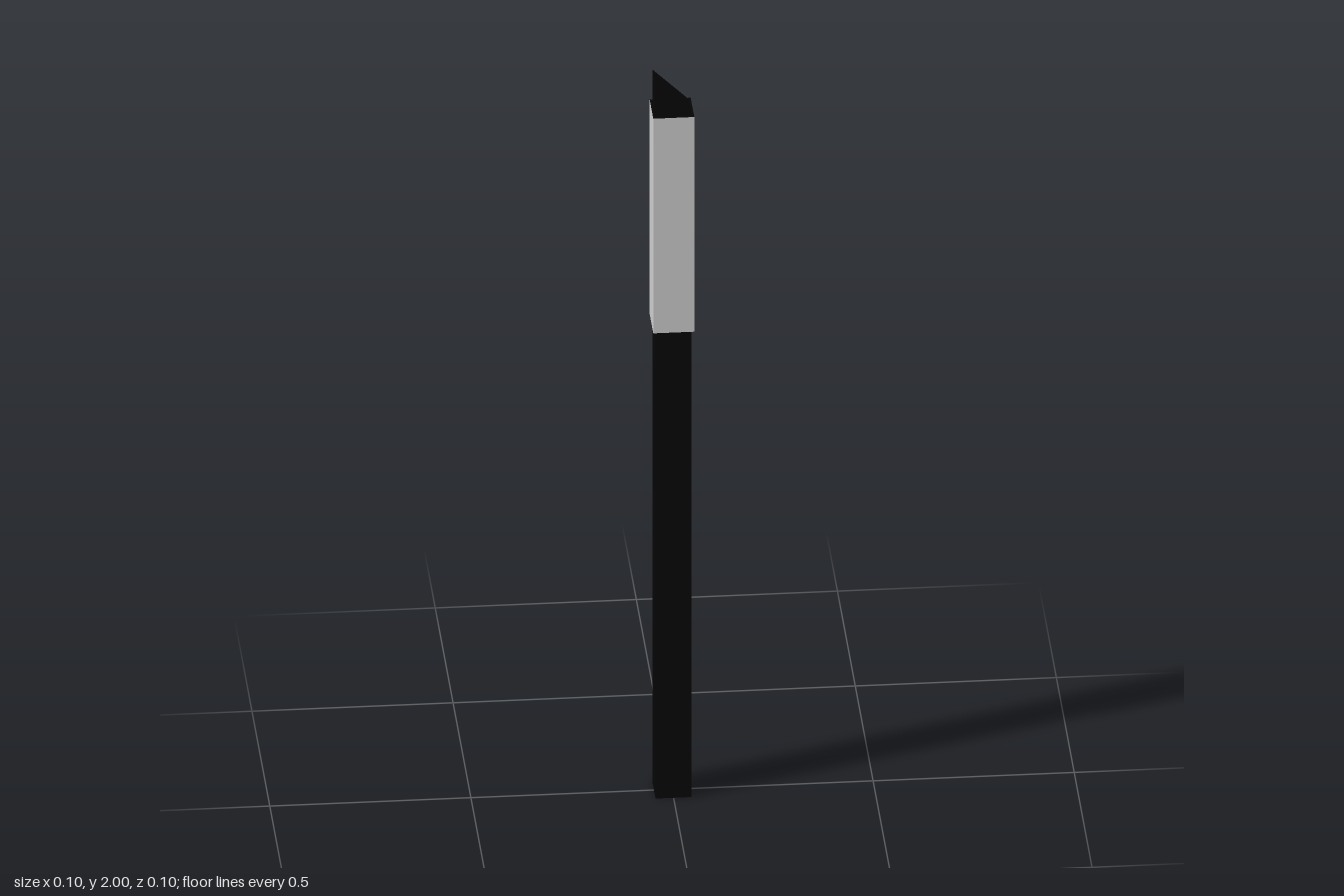
import * as THREE from 'three';

const black = new THREE.MeshStandardMaterial({ color: 0x050505 });
const grey = new THREE.MeshStandardMaterial({ color: 0xcccccc });

export function createModel() {
  const model = new THREE.Group();
  const half = 0.045;
  const sleeveWidth = 0.102;
  const sleeveBottom = 1.31;
  const sleeveTop = 1.913;

  // Square shaft, cut at a slant above the sleeve to form the tip
  const profile = new THREE.Shape([
    new THREE.Vector2(-half, 0),
    new THREE.Vector2(half, 0),
    new THREE.Vector2(half, sleeveTop),
    new THREE.Vector2(-half, 2),
  ]);
  const shaftGeometry = new THREE.ExtrudeGeometry(profile, { depth: 2 * half, bevelEnabled: false });
  shaftGeometry.translate(0, 0, -half);
  const shaft = new THREE.Mesh(shaftGeometry, black);
  shaft.name = 'shaftWithSlantedTip';
  model.add(shaft);

  // Wider grey sleeve with black top and bottom faces
  const sleeve = new THREE.Mesh(
    new THREE.BoxGeometry(sleeveWidth, sleeveTop - sleeveBottom, sleeveWidth),
    [grey, grey, black, black, grey, grey],
  );
  sleeve.position.y = (sleeveTop + sleeveBottom) / 2;
  sleeve.name = 'sleeve';
  model.add(sleeve);

  return model;
}
